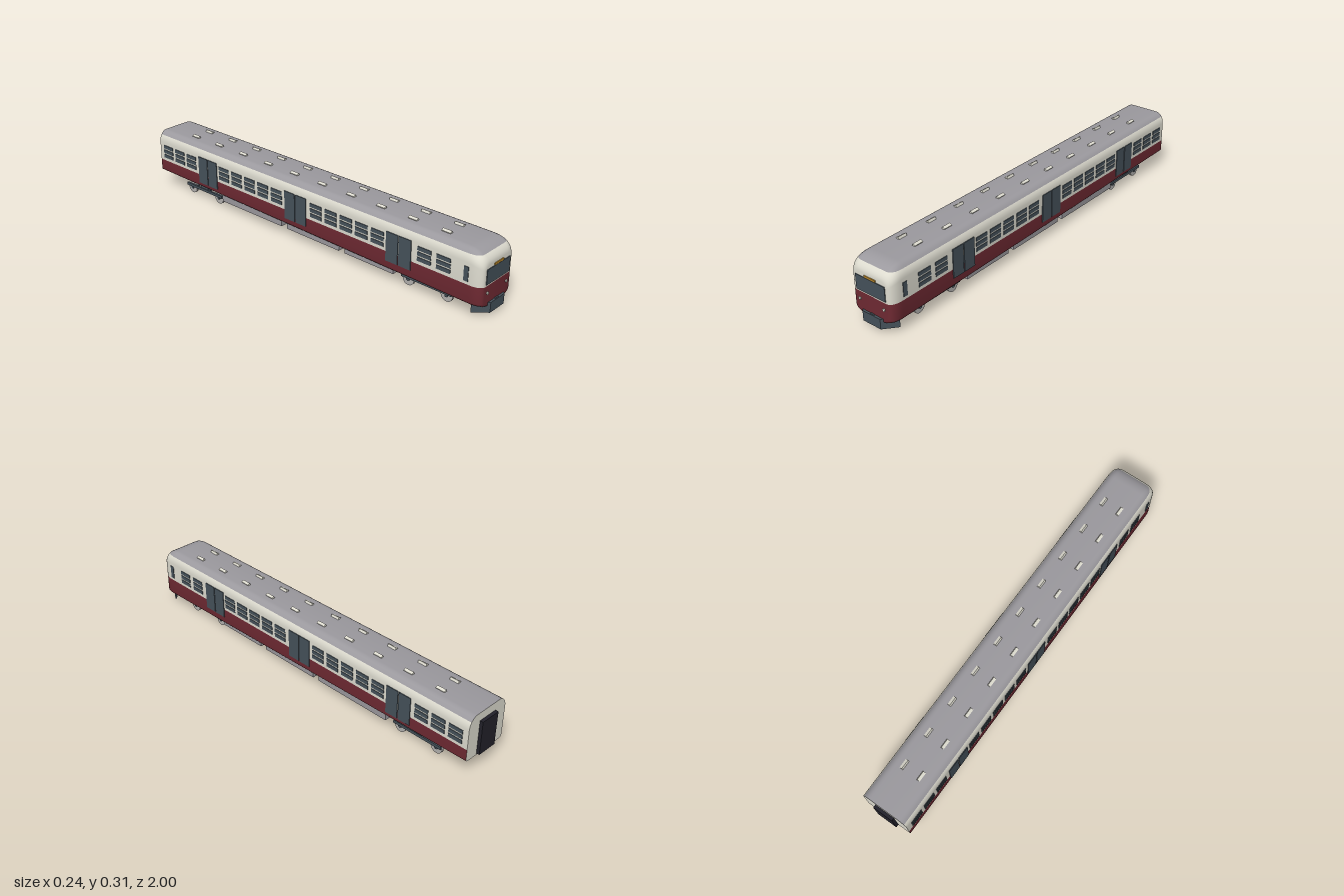
import * as THREE from 'three';
import { toCreasedNormals } from 'three/addons/utils/BufferGeometryUtils.js';

const material = (name, color) => Object.assign(new THREE.MeshStandardMaterial({ color }), { name });
const red = material('red paint', 0x702a33);
const cream = material('cream paint', 0xdedcd0);
const grey = material('grey metal', 0x9c9a9f);
const slate = material('dark slate', 0x46525b);
const black = material('black rubber', 0x23222b);
const amber = material('amber sign', 0xc8922e);
const lightGrey = material('light grey steel', 0xb4b2b0);

const FRONT = 0.99, BACK = -0.985, HALF = 0.117, ROOF = 0.303;
const lerp = THREE.MathUtils.lerp;

// Rounded body cross-section at z, narrowing towards the nose
function section(z) {
  const t = (z - BACK) / (FRONT - BACK);
  const round = (start) => {
    const u = THREE.MathUtils.clamp((z - start) / (FRONT - start), 0, 1);
    return 1 - Math.sqrt(1 - u * u);
  };
  const w = HALF - 0.03 * round(0.94);
  const top = ROOF - 0.058 * round(0.9);
  const bottom = lerp(0.088, 0.052, t);
  const rTop = [lerp(0.045, 0.03, round(0.9)), lerp(0.055, 0.03, round(0.9))];
  const rLow = [lerp(0.012, 0.045, t), lerp(0.012, 0.022, t)];
  const points = [];
  const corners = [[1, 0, rLow], [1, 1, rTop], [-1, 1, rTop], [-1, 0, rLow]];
  corners.forEach(([sx, up, [rx, ry]], c) => {
    const cx = sx * (w - rx), cy = up ? top - ry : bottom + ry;
    for (let i = 0; i <= 7; i++) {
      const a = (c - 1 + i / 7) * Math.PI / 2;
      points.push(new THREE.Vector3(cx + rx * Math.cos(a), cy + ry * Math.sin(a), z));
    }
  });
  return points;
}

// Keep the part of a polygon above (side 1) or below (side -1) a height
function clip(poly, y, side) {
  const out = [];
  poly.forEach((p, i) => {
    const q = poly[(i + 1) % poly.length];
    const dp = (p.y - y) * side, dq = (q.y - y) * side;
    if (dp >= 0) out.push(p);
    if (dp * dq < 0) out.push(p.clone().lerp(q, dp / (dp - dq)));
  });
  return out;
}

// Lofted shell painted in horizontal bands
function bodyGeometry() {
  const bands = [[], [], []]; // red, cream, grey
  const add = (poly, band) => {
    for (let i = 1; i + 1 < poly.length; i++) bands[band].push(poly[0], poly[i], poly[i + 1]);
  };
  const paint = (poly) => {
    add(clip(poly, 0.15, -1), 0);
    const upper = clip(poly, 0.15, 1);
    add(clip(upper, 0.283, -1), 1);
    add(clip(upper, 0.283, 1), 2);
  };
  const sections = [section(BACK)];
  for (let i = 0; i <= 12; i++) sections.push(section(0.9 + 0.09 * Math.sin(i / 12 * Math.PI / 2)));
  const n = sections[0].length;
  for (let s = 0; s + 1 < sections.length; s++) {
    const A = sections[s], B = sections[s + 1];
    for (let j = 0; j < n; j++) {
      const k = (j + 1) % n;
      const quad = [A[j], A[k], B[k], B[j]];
      if (j === n - 1) add(quad, 2); // underside
      else paint(quad);
    }
  }
  paint(sections[sections.length - 1]);
  add([...sections[0]].reverse(), 1);

  const geometry = new THREE.BufferGeometry().setFromPoints(bands.flat());
  let start = 0;
  bands.forEach((b, i) => { geometry.addGroup(start, b.length, i); start += b.length; });
  geometry.scale(100, 100, 100); // larger scale for precise vertex matching
  return toCreasedNormals(geometry, 0.6).scale(0.01, 0.01, 0.01);
}

export function createModel() {
  const model = new THREE.Group();
  model.name = 'railcar';

  const mesh = (name, geometry, mat, x = 0, y = 0, z = 0, parent = model) => {
    const m = new THREE.Mesh(geometry, mat);
    m.name = name;
    m.position.set(x, y, z);
    parent.add(m);
    return m;
  };
  const box = (name, mat, w, h, d, x, y, z, parent) =>
    mesh(name, new THREE.BoxGeometry(w, h, d), mat, x, y, z, parent);

  mesh('body', bodyGeometry(), [red, cream, grey]);

  // Cab front
  box('windscreen', slate, 0.164, 0.07, 0.006, 0, 0.192, FRONT);
  box('destinationSign', amber, 0.064, 0.009, 0.008, 0, 0.2335, FRONT);
  box('coupler', slate, 0.024, 0.01, 0.012, 0, 0.065, FRONT);
  for (const s of [-1, 1]) {
    mesh('headlight', new THREE.CylinderGeometry(0.0065, 0.0065, 0.008, 16).rotateX(Math.PI / 2),
      cream, s * 0.068, 0.116, FRONT);
  }

  // Bent plough plate below the cab
  const plough = new THREE.Shape([
    [-0.1, 0.94], [-0.05, 1], [0.05, 1], [0.1, 0.94],
    [0.09, 0.94], [0.045, 0.988], [-0.045, 0.988], [-0.09, 0.94],
  ].map(([x, y]) => new THREE.Vector2(x, y)));
  mesh('plough', new THREE.ExtrudeGeometry(plough, { depth: 0.048, bevelEnabled: false })
    .rotateX(Math.PI / 2), slate, 0, 0.068, 0);

  // Gangway at the back
  box('gangway', black, 0.1, 0.166, 0.02, 0, 0.179, -0.99);

  // Side windows and doors, mirrored
  const windows = [0.807, 0.71];
  for (let i = 0; i < 5; i++) windows.push(0.462 - 0.089 * i, -0.143 - 0.09 * i);
  for (let i = 0; i < 3; i++) windows.push(-0.744 - 0.089 * i);
  for (const s of [-1, 1]) {
    const x = s * HALF;
    for (const z of windows) {
      for (const y of [0.225, 0.2, 0.175]) box('windowPane', slate, 0.005, 0.018, 0.07, x, y, z);
    }
    for (const z of [0.577, -0.022, -0.62]) {
      for (const e of [-1, 1]) box('doorLeaf', slate, 0.007, 0.139, 0.064, x, 0.1765, z + e * 0.0345);
    }
    box('cabSideWindow', slate, 0.005, 0.066, 0.022, x, 0.197, 0.917);
  }

  // Roof vents
  for (let i = 0; i < 10; i++) {
    for (const s of [-1, 1]) {
      const vent = box('roofVent', cream, 0.014, 0.012, 0.045, s * 0.045, 0.305, -0.78 + i * 0.1717);
      vent.rotation.z = -s * 0.45;
    }
  }

  // Underfloor equipment boxes
  for (const [z0, z1] of [[0.265, 0.54], [-0.095, 0.23], [-0.54, -0.13]]) {
    box('equipmentBox', grey, 0.2, 0.055, z1 - z0, 0, 0.07, (z0 + z1) / 2);
  }

  // Bogies
  const wheel = new THREE.CylinderGeometry(0.03, 0.03, 0.012, 20).rotateZ(Math.PI / 2);
  const axle = new THREE.CylinderGeometry(0.008, 0.008, 0.15, 10).rotateZ(Math.PI / 2);
  for (const z of [0.7, -0.7]) {
    const bogie = new THREE.Group();
    bogie.name = 'bogie';
    bogie.position.z = z;
    model.add(bogie);
    box('bolster', slate, 0.16, 0.04, 0.055, 0, 0.062, 0, bogie);
    for (const s of [-1, 1]) {
      box('sideFrame', slate, 0.01, 0.014, 0.26, s * 0.078, 0.046, 0, bogie);
      mesh('axle', axle, slate, 0, 0.03, s * 0.1, bogie);
      for (const e of [-1, 1]) mesh('wheel', wheel, lightGrey, e * 0.064, 0.03, s * 0.1, bogie);
    }
  }
  return model;
}
